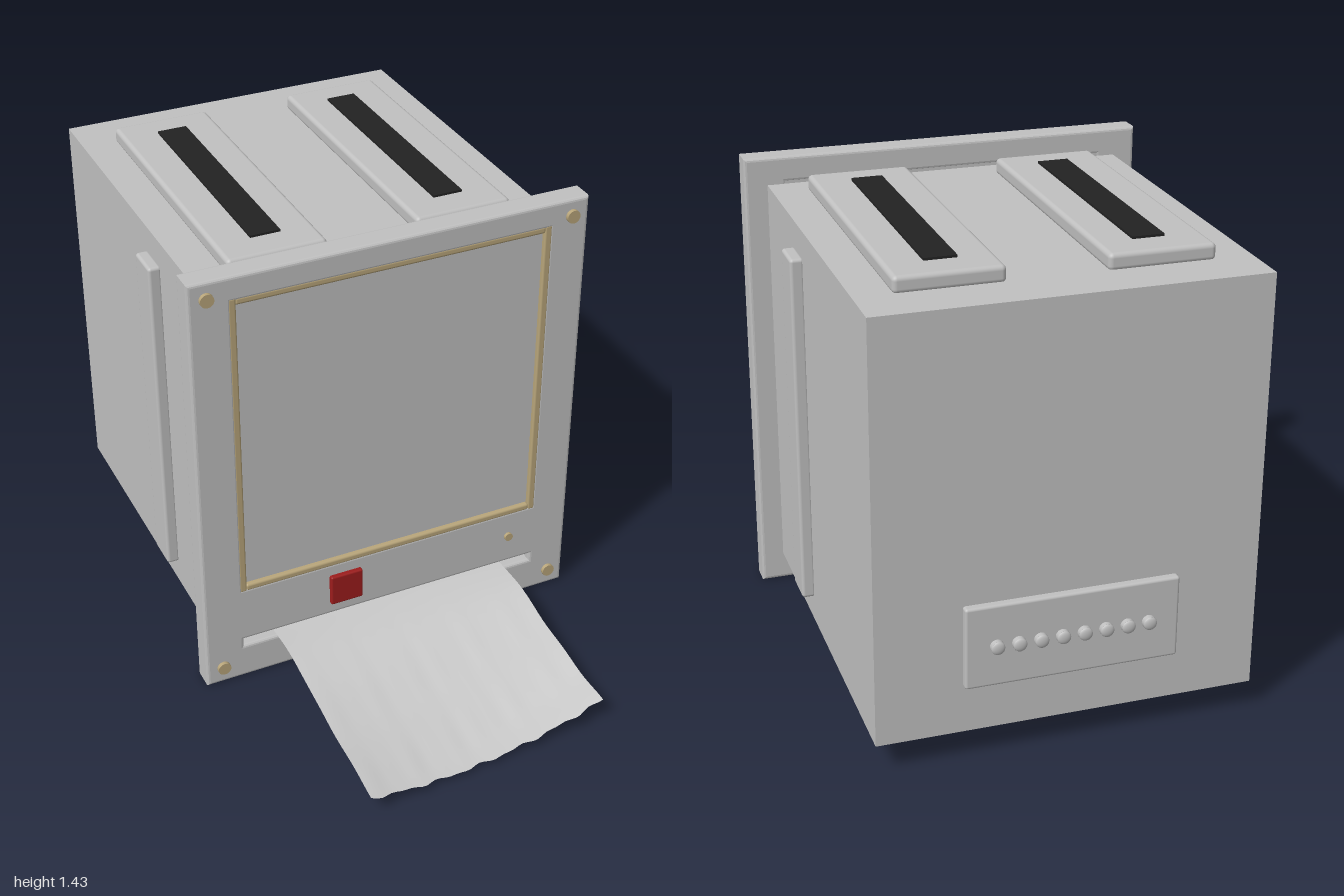
import * as THREE from 'three';
import { RoundedBoxGeometry } from 'three/addons/geometries/RoundedBoxGeometry.js';

const mat = (name, color, side = THREE.FrontSide) => {
  const m = new THREE.MeshStandardMaterial({ color, side });
  m.name = name;
  return m;
};

export function createModel() {
  const model = new THREE.Group();
  model.name = 'printerCabinet';
  const grey = mat('casing grey', 0xc0c0c0);
  const tan = mat('brass tan', 0xb8a57a);
  const red = mat('button red', 0x9c1c1c);
  const black = mat('rubber black', 0x222222);
  const white = mat('paper grey', 0xcacaca, THREE.DoubleSide);

  const add = (name, geometry, material) => {
    const mesh = new THREE.Mesh(geometry, material);
    mesh.name = name;
    model.add(mesh);
    return mesh;
  };
  // Box given by its limits; a radius above zero rounds the edges
  const box = (name, material, [x0, x1], [y0, y1], [z0, z1], r = 0) => {
    const size = [x1 - x0, y1 - y0, z1 - z0];
    const g = r ? new RoundedBoxGeometry(...size, 3, r) : new THREE.BoxGeometry(...size);
    g.translate((x0 + x1) / 2, (y0 + y1) / 2, (z0 + z1) / 2);
    return add(name, g, material);
  };
  // Round stud standing along z
  const stud = (name, material, x, y, z0, z1, r) => {
    const g = new THREE.CylinderGeometry(r, r, z1 - z0, 20);
    g.rotateX(Math.PI / 2).translate(x, y, (z0 + z1) / 2);
    return add(name, g, material);
  };

  box('body', grey, [-0.56, 0.56], [0.09, 1.345], [-0.955, 0.221]);

  // Front panel with a window opening and a paper slot
  const rect = (S, x0, x1, y0, y1) => {
    const s = new S();
    s.moveTo(x0, y0).lineTo(x1, y0).lineTo(x1, y1).lineTo(x0, y1).closePath();
    return s;
  };
  const b = 0.01;
  const outline = rect(THREE.Shape, -0.63, 0.63, 0, 1.43);
  outline.holes.push(
    rect(THREE.Path, -0.511 + b, 0.511 - b, 0.33 + b, 1.36 - b),
    rect(THREE.Path, -0.513 + b, 0.513 - b, 0.11 + b, 0.155 - b)
  );
  const panel = new THREE.ExtrudeGeometry(outline, {
    depth: 0.08 - 2 * b, bevelThickness: b, bevelSize: b, bevelOffset: -b, bevelSegments: 3
  });
  panel.translate(0, 0, 0.22 + b);
  add('frontPanel', panel, grey);

  // Screen and its trim
  box('screen', grey, [-0.505, 0.505], [0.335, 1.355], [0.222, 0.285]);
  for (const s of [-1, 1]) {
    const cx = s * 0.499, cy = 0.845 + s * 0.503;
    box('trimSide', tan, [cx - 0.012, cx + 0.012], [0.33, 1.36], [0.26, 0.3], 0.006);
    box('trimBar', tan, [-0.49, 0.49], [cy - 0.012, cy + 0.012], [0.26, 0.3], 0.008);
  }

  // Panel screws, indicator and button
  for (const x of [-0.575, 0.575])
    for (const y of [0.06, 1.377]) stud('screw', tan, x, y, 0.29, 0.312, 0.021);
  stud('indicator', tan, 0.418, 0.248, 0.29, 0.31, 0.014);
  box('button', red, [-0.213, -0.105], [0.19, 0.297], [0.28, 0.315], 0.006);

  // Mirrored parts: top plates with slots, side strips, rear feet
  for (const s of [-1, 1]) {
    const span = (c, w) => [s * c - w / 2, s * c + w / 2];
    box('topPlate', grey, span(0.297, 0.31), [1.34, 1.39], [-0.81, 0.15], 0.014);
    box('topSlot', black, span(0.294, 0.094), [1.38, 1.397], [-0.71, 0.05]);
    box('sideStrip', grey, span(0.575, 0.042), [0.17, 1.26], [-0.235, -0.12], 0.01);
    box('foot', black, span(0.42, 0.17), [0.01, 0.1], [-0.81, -0.56], 0.012);
  }

  // Back plate with a row of knobs
  box('backPlate', grey, [-0.315, 0.31], [0.235, 0.485], [-0.978, -0.945], 0.008);
  for (let i = 0; i < 8; i++) {
    const x = -0.224 + i * 0.0635;
    stud('knob', grey, x, 0.36, -0.992, -0.97, 0.02);
    const cap = new THREE.SphereGeometry(0.02, 16, 6, 0, Math.PI * 2, 0, Math.PI / 2);
    cap.scale(1, 0.4, 1).rotateX(-Math.PI / 2).translate(x, 0.36, -0.992);
    add('knobCap', cap, grey);
  }

  // Paper: sagging, rippled sheet with a torn end
  const edge = new THREE.CatmullRomCurve3(
    [[0.23, 0.133], [0.4, 0.14], [0.6, 0.108], [0.8, 0.083], [1, 0.068]]
      .map(([z, y]) => new THREE.Vector3(0, y, z)));
  const paper = new THREE.PlaneGeometry(0.8, 1, 48, 48);
  const p = paper.attributes.position;
  for (let i = 0; i < p.count; i++) {
    const x = p.getX(i), t = 0.5 - p.getY(i);
    const tear = 0.004 * Math.sin(x * 47) + 0.003 * Math.sin(x * 83 + 1);
    const end = 0.968 - 0.067 * x + tear;
    const sag = 0.052 * t * (1 - (x / 0.4) ** 2);
    const ripple = 0.004 * t * Math.sin(t * 19 + x * 4);
    p.setXYZ(i, x, edge.getPoint(t).y - sag + ripple + 0.02 * t * t * x, 0.23 + t * (end - 0.23));
  }
  paper.computeVertexNormals();
  add('paper', paper, white);

  return model;
}
